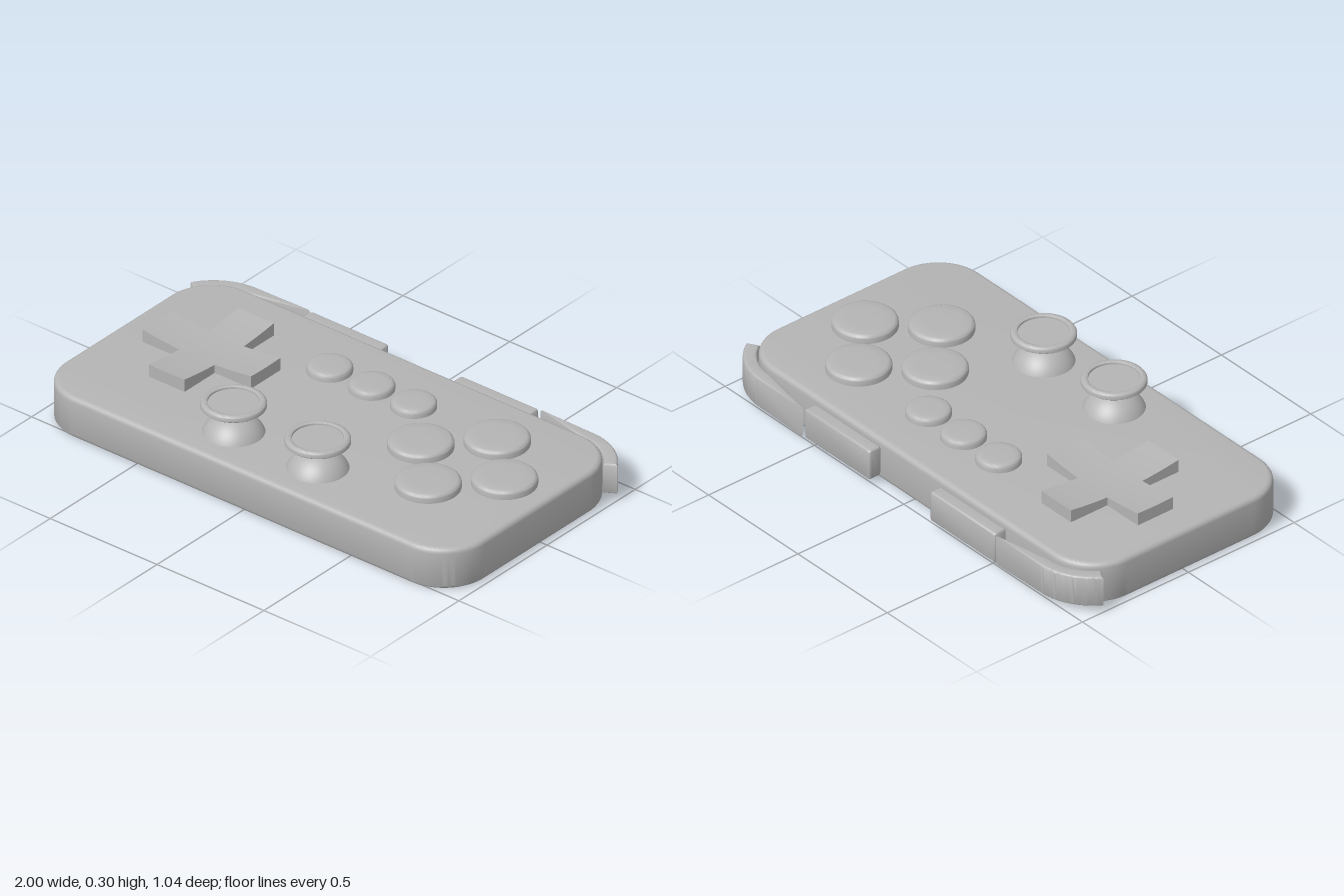
import * as THREE from 'three';
import { toCreasedNormals } from 'three/addons/utils/BufferGeometryUtils.js';

const grey = new THREE.MeshStandardMaterial({ color: 0xb4b4b4 });
grey.name = 'plainGrey';

function add(parent, name, geometry, x = 0, y = 0, z = 0) {
  const mesh = new THREE.Mesh(geometry, grey);
  mesh.name = name;
  mesh.position.set(x, y, z);
  parent.add(mesh);
  return mesh;
}

// Bevelled slab from a plan outline (shape y points to the back, -z)
function slab(shape, y0, y1, bevel) {
  const g = new THREE.ExtrudeGeometry(shape, {
    depth: y1 - y0 - 2 * bevel, curveSegments: 16,
    bevelEnabled: true, bevelSize: bevel, bevelThickness: bevel, bevelOffset: -bevel, bevelSegments: 4,
  });
  g.rotateX(-Math.PI / 2);
  g.translate(0, y0 + bevel, 0);
  return toCreasedNormals(g, 0.6);
}

function roundedRect(x0, x1, y0, y1, r) {
  const s = new THREE.Shape();
  s.absarc(x1 - r, y0 + r, r, -Math.PI / 2, 0);
  s.absarc(x1 - r, y1 - r, r, 0, Math.PI / 2);
  s.absarc(x0 + r, y1 - r, r, Math.PI / 2, Math.PI);
  s.absarc(x0 + r, y0 + r, r, Math.PI, Math.PI * 1.5);
  s.closePath();
  return s;
}

// Outer shoulder button: a straight run that wraps round the body corner
function cornerShoulder(side) {
  const s = new THREE.Shape();
  const end = 0.54, cx = 0.785, cy = 0.27, stop = 0.545;
  if (side > 0) {
    s.moveTo(end, cy + 0.198);
    s.absarc(cx, cy, 0.198, Math.PI / 2, stop, true);
    s.absarc(cx, cy, 0.251, stop, Math.PI / 2, false);
    s.lineTo(end, cy + 0.251);
  } else {
    s.moveTo(-end, cy + 0.198);
    s.absarc(-cx, cy, 0.198, Math.PI / 2, Math.PI - stop, false);
    s.absarc(-cx, cy, 0.251, Math.PI - stop, Math.PI / 2, true);
    s.lineTo(-end, cy + 0.251);
  }
  s.closePath();
  return s;
}

function turned(points, crease = 0.6) {
  const pts = points.map(([x, y]) => new THREE.Vector2(x, y));
  return toCreasedNormals(new THREE.LatheGeometry(pts, 48), crease);
}

// Button with a rounded rim and a very slight crown
function button(r, h) {
  return turned([[r, 0], [r, h - 0.015], [r - 0.002, h - 0.01], [r - 0.007, h - 0.005],
    [r - 0.015, h - 0.002], [r * 0.6, h - 0.001], [0, h]]);
}

// Direction pad arm whose top dips towards the pad centre
function padArm(x0, x1, z0, z1) {
  const h = 0.04, base = 0.16;
  const g = new THREE.BoxGeometry(x1 - x0, h, z1 - z0, 16, 1, 16);
  g.translate((x0 + x1) / 2, base + h / 2, (z0 + z1) / 2);
  const p = g.attributes.position;
  for (let i = 0; i < p.count; i++) {
    if (p.getY(i) > base + h / 2) {
      const d = (p.getX(i) ** 2 + p.getZ(i) ** 2) / 0.255 ** 2;
      p.setY(i, base + h + 0.02 * d);
    }
  }
  return toCreasedNormals(g, 0.5);
}

export function createModel() {
  const model = new THREE.Group();
  model.name = 'gamepad';

  // Body
  add(model, 'body', slab(roundedRect(-0.98, 0.98, -0.52, 0.46, 0.19), 0, 0.17, 0.02));

  // Shoulder buttons
  for (const side of [-1, 1]) {
    const label = side > 0 ? 'left' : 'right';
    add(model, label + 'OuterShoulder', slab(cornerShoulder(side), 0.025, 0.15, 0.01));
    const a = 0.168 * side, b = 0.533 * side;
    add(model, label + 'InnerShoulder',
      slab(roundedRect(Math.min(a, b), Math.max(a, b), 0.463, 0.521, 0.012), 0.025, 0.15, 0.01));
  }

  // Direction pad
  const pad = new THREE.Group();
  pad.name = 'directionPad';
  pad.position.set(-0.59, 0, -0.024);
  add(pad, 'padBar', padArm(-0.254, 0.254, -0.083, 0.083));
  add(pad, 'padFrontArm', padArm(-0.083, 0.083, 0.083, 0.254));
  add(pad, 'padBackArm', padArm(-0.083, 0.083, -0.254, -0.083));
  model.add(pad);

  // Three small menu buttons
  for (const x of [-0.197, 0, 0.196]) add(model, 'menuButton', button(0.085, 0.04), x, 0.162, -0.218);

  // Four action buttons in a diamond
  for (const [dx, dz] of [[0, -1], [-1, 0], [1, 0], [0, 1]]) {
    add(model, 'actionButton', button(0.122, 0.043), 0.587 + dx * 0.196, 0.162, -0.022 + dz * 0.196);
  }

  // Thumb sticks: dome with a dished cap hovering above it
  const dome = new THREE.SphereGeometry(0.126, 40, 16, 0, Math.PI * 2, 0, 1.25);
  const cap = turned([[0, 0], [0.116, 0], [0.121, 0.004], [0.121, 0.017], [0.118, 0.022], [0.111, 0.026],
    [0.1, 0.026], [0.095, 0.023], [0.094, 0.016], [0, 0.016]]);
  for (const x of [-0.199, 0.195]) {
    const stick = new THREE.Group();
    stick.name = 'thumbStick';
    stick.position.set(x, 0, 0.325);
    add(stick, 'stickDome', dome, 0, 0.119, 0);
    add(stick, 'stickCap', cap, 0, 0.274, 0);
    model.add(stick);
  }
  return model;
}
